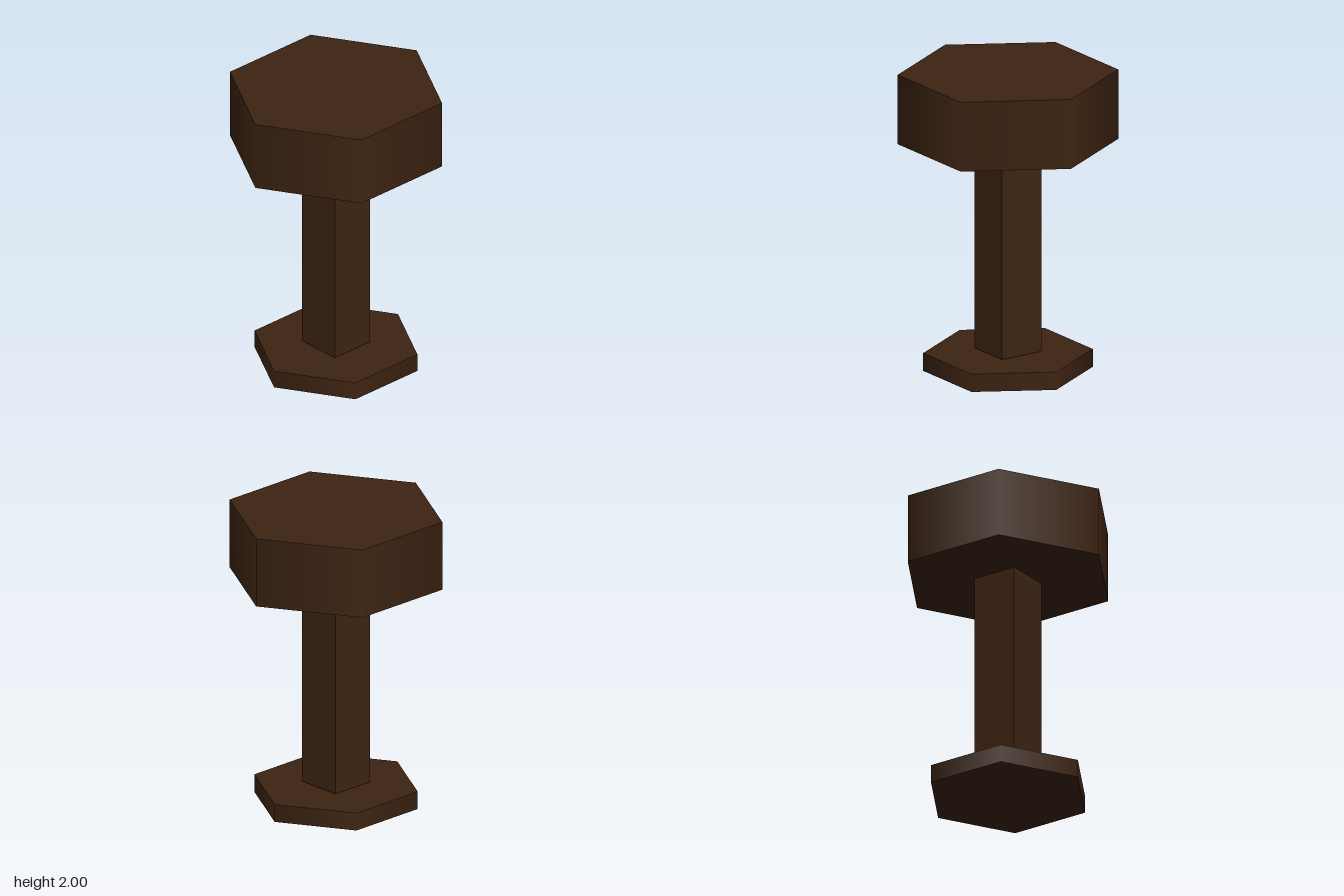
import * as THREE from 'three';

export function createModel() {
  const group = new THREE.Group();
  const wood = new THREE.MeshStandardMaterial({ color: 0x3d2412 });

  const add = (name, geometry, bottom, top) => {
    const mesh = new THREE.Mesh(geometry, wood);
    mesh.name = name;
    mesh.position.y = (bottom + top) / 2;
    group.add(mesh);
  };

  // Six-sided slab with smooth-shaded sides and corners on the x axis
  const hexSlab = (name, radius, bottom, top) =>
    add(name, new THREE.CylinderGeometry(radius, radius, top - bottom, 6, 1, false, Math.PI / 6), bottom, top);

  hexSlab('base', 0.547, 0, 0.12);
  hexSlab('seat', 0.712, 1.533, 2);

  // Square post, standing just clear of the base
  add('post', new THREE.BoxGeometry(0.31, 1.403, 0.31), 0.13, 1.533);

  return group;
}
